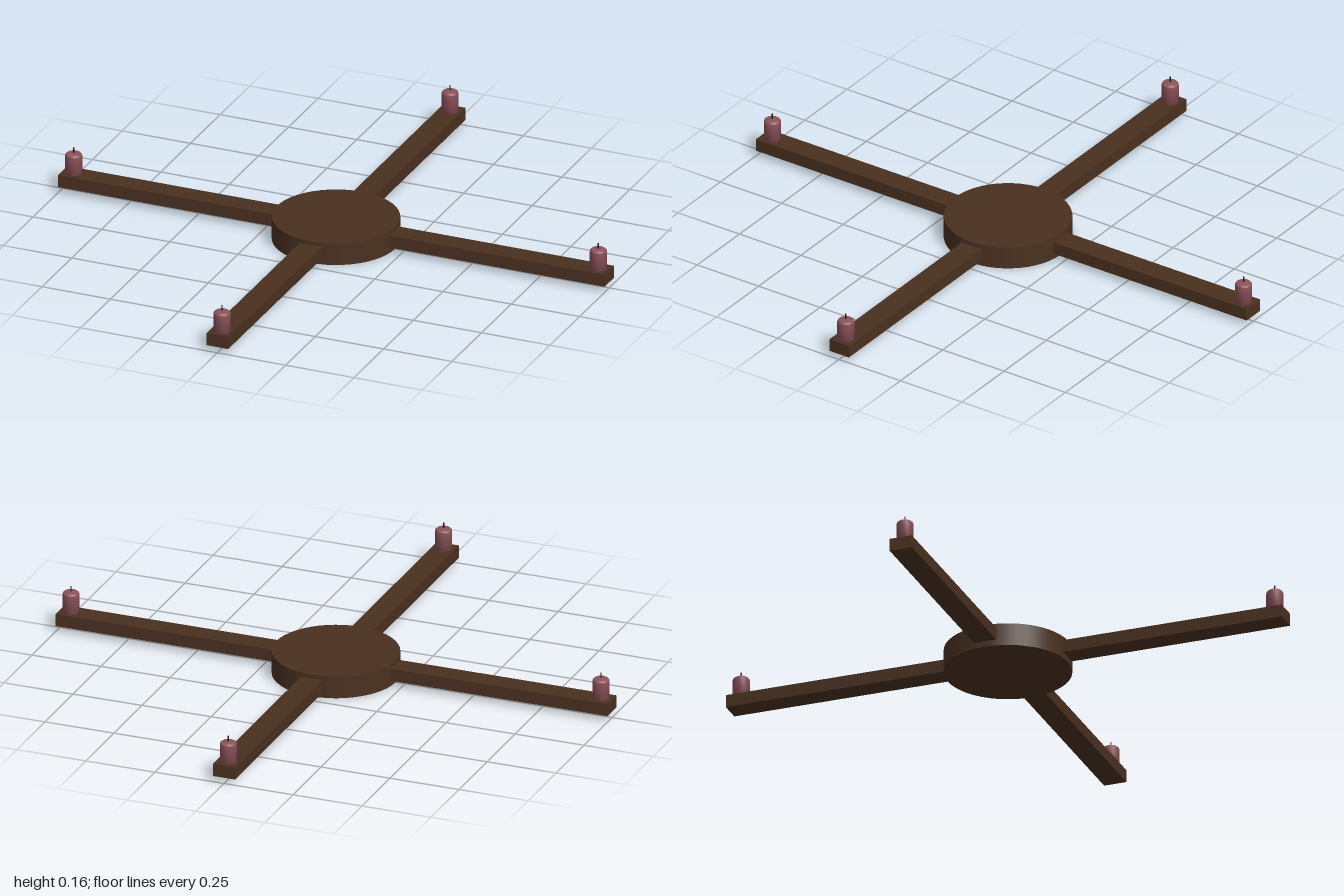
import * as THREE from 'three';

export function createModel() {
  const model = new THREE.Group();
  model.name = 'candleCross';
  const wood = new THREE.MeshStandardMaterial({ color: 0x4a3020 });
  const wax = new THREE.MeshStandardMaterial({ color: 0x8c525a });
  const dark = new THREE.MeshStandardMaterial({ color: 0x1c1614 });

  const add = (parent, name, geometry, material, x, y, z) => {
    const mesh = new THREE.Mesh(geometry, material);
    mesh.name = name;
    mesh.position.set(x, y, z);
    parent.add(mesh);
    return mesh;
  };

  // Round central hub
  add(model, 'hub', new THREE.CylinderGeometry(0.216, 0.216, 0.08, 48), wood, 0, 0.04, 0);

  // Two crossing beams, split into four arms that start inside the hub
  const armGeometry = new THREE.BoxGeometry(0.9, 0.044, 0.08);

  // Candle with a softly chamfered top edge
  const profile = [[0, 0], [0.029, 0], [0.029, 0.064], [0.027, 0.069], [0.022, 0.073], [0, 0.074]];
  const candleGeometry = new THREE.LatheGeometry(profile.map(([r, y]) => new THREE.Vector2(r, y)), 24);
  const wickGeometry = new THREE.CylinderGeometry(0.0025, 0.0025, 0.022, 8);

  for (let i = 0; i < 4; i++) {
    const arm = new THREE.Group();
    arm.name = 'candleArm' + (i + 1);
    arm.rotation.y = (i * Math.PI) / 2;
    add(arm, 'arm', armGeometry, wood, 0.55, 0.043, 0);
    add(arm, 'candle', candleGeometry, wax, 0.96, 0.065, 0);
    add(arm, 'wick', wickGeometry, dark, 0.96, 0.147, 0);
    model.add(arm);
  }
  return model;
}
